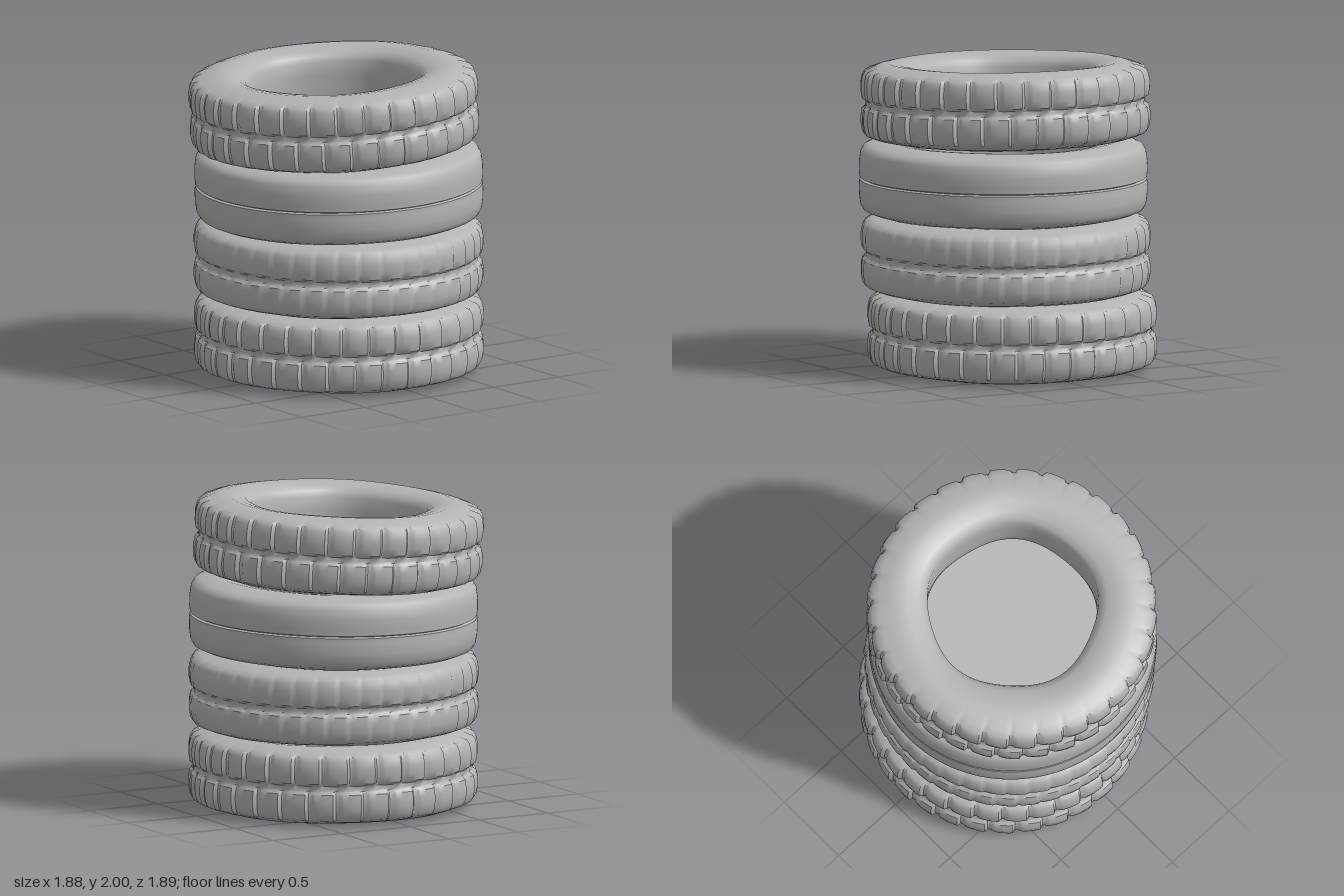
import * as THREE from 'three';
import { toCreasedNormals } from 'three/addons/utils/BufferGeometryUtils.js';

const TAU = Math.PI * 2;
const SEGMENTS = 320;

// Half cross-section from the centre groove up over the shoulder to the bore:
// [radius, height, tread strength]
const TREADED = [
  [0.888, 0, 0], [0.892, 0.018, 0.4], [0.914, 0.035, 1], [0.922, 0.08, 1], [0.922, 0.13, 1],
  [0.912, 0.18, 1], [0.895, 0.205, 0.8], [0.85, 0.222, 0.4], [0.79, 0.238, 0], [0.73, 0.25, 0],
  [0.67, 0.243, 0], [0.6, 0.226, 0], [0.56, 0.2, 0], [0.542, 0.165, 0], [0.538, 0.08, 0],
];
const PLAIN = [
  [0.896, 0, 0], [0.914, 0.008, 0], [0.918, 0.04, 0], [0.917, 0.11, 0],
  [0.908, 0.17, 0], [0.89, 0.2, 0], [0.85, 0.217, 0], [0.79, 0.232, 0], [0.73, 0.243, 0],
  [0.67, 0.236, 0], [0.6, 0.22, 0], [0.56, 0.195, 0], [0.542, 0.16, 0], [0.538, 0.08, 0],
];

// Tread block outline: rounded block with one steep side and a narrow notch
function blockDip(t) {
  const u = t - Math.floor(t);
  return u < 0.12 ? 1 : Math.pow(1 - (u - 0.12) / 0.88, 3) * 0.6;
}

// Sweep the mirrored cross-section around the axle
function tyreGeometry(half, blocks, depth, turn) {
  const lower = half.slice(1).reverse().map(([r, y, s]) => [r, -y, s]);
  const ring = [...lower, ...half, [0.537, 0, 0]];
  const n = ring.length;
  const pos = [], idx = [];
  for (let i = 0; i < SEGMENTS; i++) {
    const a = (i / SEGMENTS) * TAU;
    for (const [r, y, s] of ring) {
      const t = (i / SEGMENTS) * blocks + (y > 0 ? 0 : 0.5);
      const wobble = r < 0.8 ? 0.01 * Math.cos(5 * a + turn) : 0.004 * Math.cos(3 * a + turn);
      const rad = r + wobble - depth * s * blockDip(t);
      pos.push(Math.sin(a) * rad, y, Math.cos(a) * rad);
    }
  }
  for (let i = 0; i < SEGMENTS; i++) {
    const p = i * n, q = ((i + 1) % SEGMENTS) * n;
    for (let j = 0; j < n; j++) {
      const k = (j + 1) % n;
      idx.push(p + j, q + j, q + k, p + j, q + k, p + k);
    }
  }
  const g = new THREE.BufferGeometry();
  g.setAttribute('position', new THREE.Float32BufferAttribute(pos, 3));
  g.setIndex(idx);
  return toCreasedNormals(g, 0.7);
}

export function createModel() {
  const model = new THREE.Group();
  model.name = 'tyreStack';
  const rubber = new THREE.MeshStandardMaterial({ color: 0xb4b4b4 });
  rubber.name = 'greyRubber';
  const coverGrey = rubber.clone();
  coverGrey.name = 'greyCover';
  coverGrey.side = THREE.DoubleSide;

  // Four tyres, each slightly shifted and tilted
  const tyres = [
    { name: 'bottomTyre', half: TREADED, blocks: 32, depth: 0.022, at: [-0.025, 0.25, -0.018], tilt: [0, 0], turn: 0 },
    { name: 'lowerMiddleTyre', half: TREADED, blocks: 40, depth: 0.009, at: [0.006, 0.745, 0], tilt: [0, 0], turn: 2 },
    { name: 'upperMiddleTyre', half: PLAIN, blocks: 1, depth: 0, at: [0.015, 1.225, 0.012], tilt: [0.012, 0.006], turn: 4 },
    { name: 'topTyre', half: TREADED, blocks: 32, depth: 0.024, at: [-0.005, 1.712, 0.03], tilt: [0.045, 0.012], turn: 1 },
  ];
  for (const t of tyres) {
    const tyre = new THREE.Mesh(tyreGeometry(t.half, t.blocks, t.depth, t.turn), rubber);
    tyre.name = t.name;
    tyre.position.set(...t.at);
    tyre.rotation.set(t.tilt[0], 0, t.tilt[1]);
    model.add(tyre);
  }

  // Flat cover closing the bore under the top tyre
  const cover = new THREE.Mesh(new THREE.CircleGeometry(0.6, 48).rotateX(-Math.PI / 2), coverGrey);
  cover.name = 'boreCover';
  cover.position.set(0.005, 1.462, 0.02);
  cover.rotation.x = 0.02;
  model.add(cover);
  return model;
}
